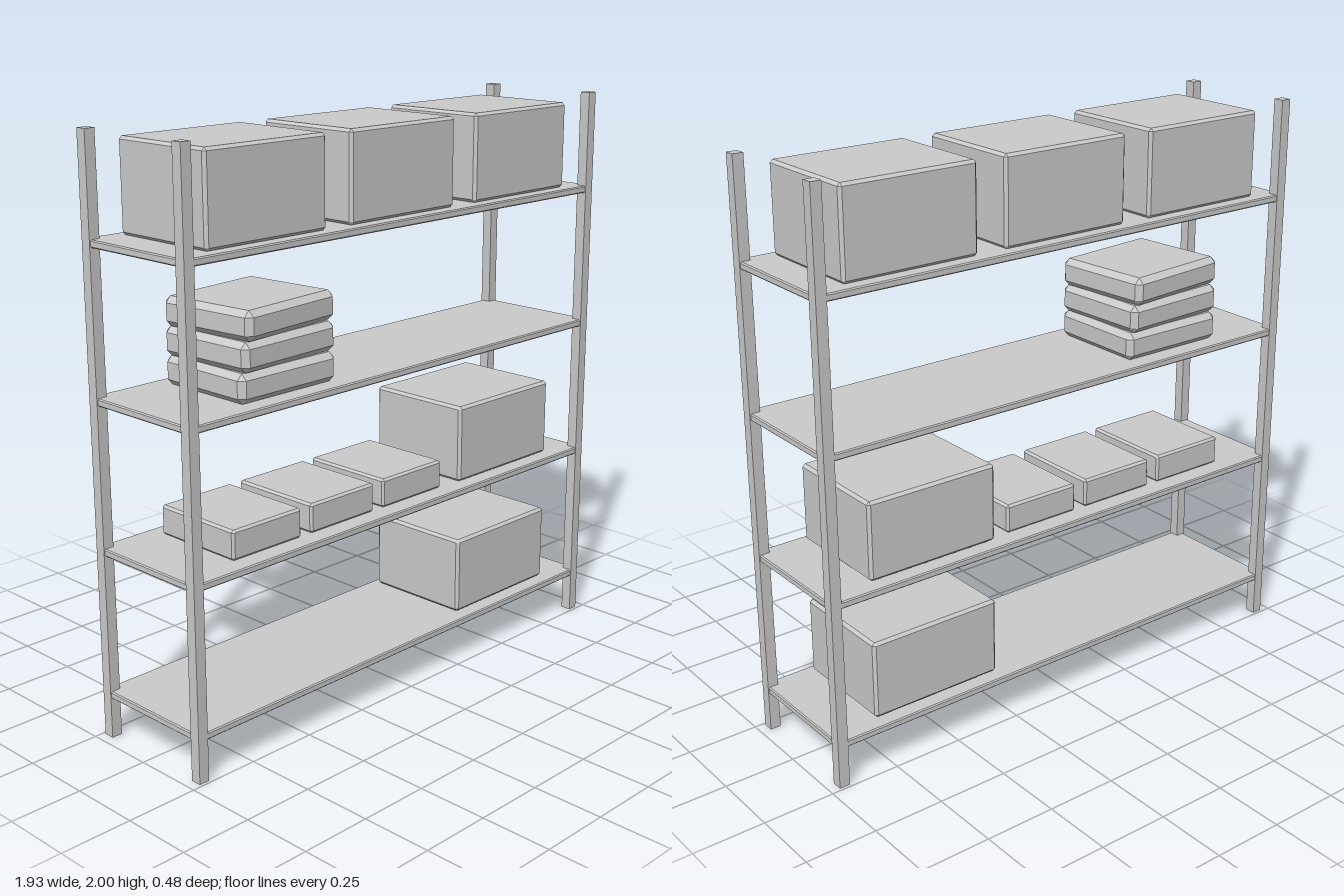
import * as THREE from 'three';
import { ConvexGeometry } from 'three/addons/geometries/ConvexGeometry.js';

const material = new THREE.MeshStandardMaterial({ color: 0xcccccc, flatShading: true });

// Box with every edge chamfered by c
function chamferBox(w, h, d, c) {
  const points = [];
  for (const sx of [-1, 1]) for (const sy of [-1, 1]) for (const sz of [-1, 1]) {
    const x = w / 2, y = h / 2, z = d / 2;
    points.push(
      new THREE.Vector3(sx * x, sy * (y - c), sz * (z - c)),
      new THREE.Vector3(sx * (x - c), sy * y, sz * (z - c)),
      new THREE.Vector3(sx * (x - c), sy * (y - c), sz * z),
    );
  }
  return new ConvexGeometry(points);
}

export function createModel() {
  const group = new THREE.Group();

  // Adds a mesh whose underside rests at the given height
  function add(name, geometry, x, bottom, height, z = 0, turn = 0) {
    const mesh = new THREE.Mesh(geometry, material);
    mesh.name = name;
    mesh.position.set(x, bottom + height / 2, z);
    mesh.rotation.y = turn;
    group.add(mesh);
  }

  // Corner posts
  const post = new THREE.BoxGeometry(0.038, 2, 0.038);
  for (const x of [-0.947, 0.947]) for (const z of [-0.221, 0.221]) add('post', post, x, 0, 2, z);

  // Shelves
  const shelf = chamferBox(1.925, 0.025, 0.475, 0.004);
  for (const y of [0.14, 0.64, 1.14, 1.64]) add('shelf', shelf, 0, y, 0.025);

  // Tall boxes on the top shelf
  const tallBox = chamferBox(0.495, 0.303, 0.4, 0.01);
  for (const x of [-0.6, 0, 0.6]) add('tallBox', tallBox, x, 1.666, 0.303);

  // Storage boxes on the two lower shelves
  const storageBox = chamferBox(0.495, 0.277, 0.4, 0.01);
  for (const y of [0.173, 0.673]) add('storageBox', storageBox, 0.545, y, 0.277);

  // Row of small boxes
  const smallBox = chamferBox(0.297, 0.102, 0.35, 0.008);
  for (const x of [-0.601, -0.261, 0.079]) add('smallBox', smallBox, x, 0.666, 0.102);

  // Stack of folded bundles, each turned a little further
  const bundle = chamferBox(0.415, 0.098, 0.372, 0.02);
  for (let i = 0; i < 3; i++) add('foldedBundle', bundle, -0.503, 1.165 + i * 0.099, 0.098, 0, i * 0.05);

  return group;
}
